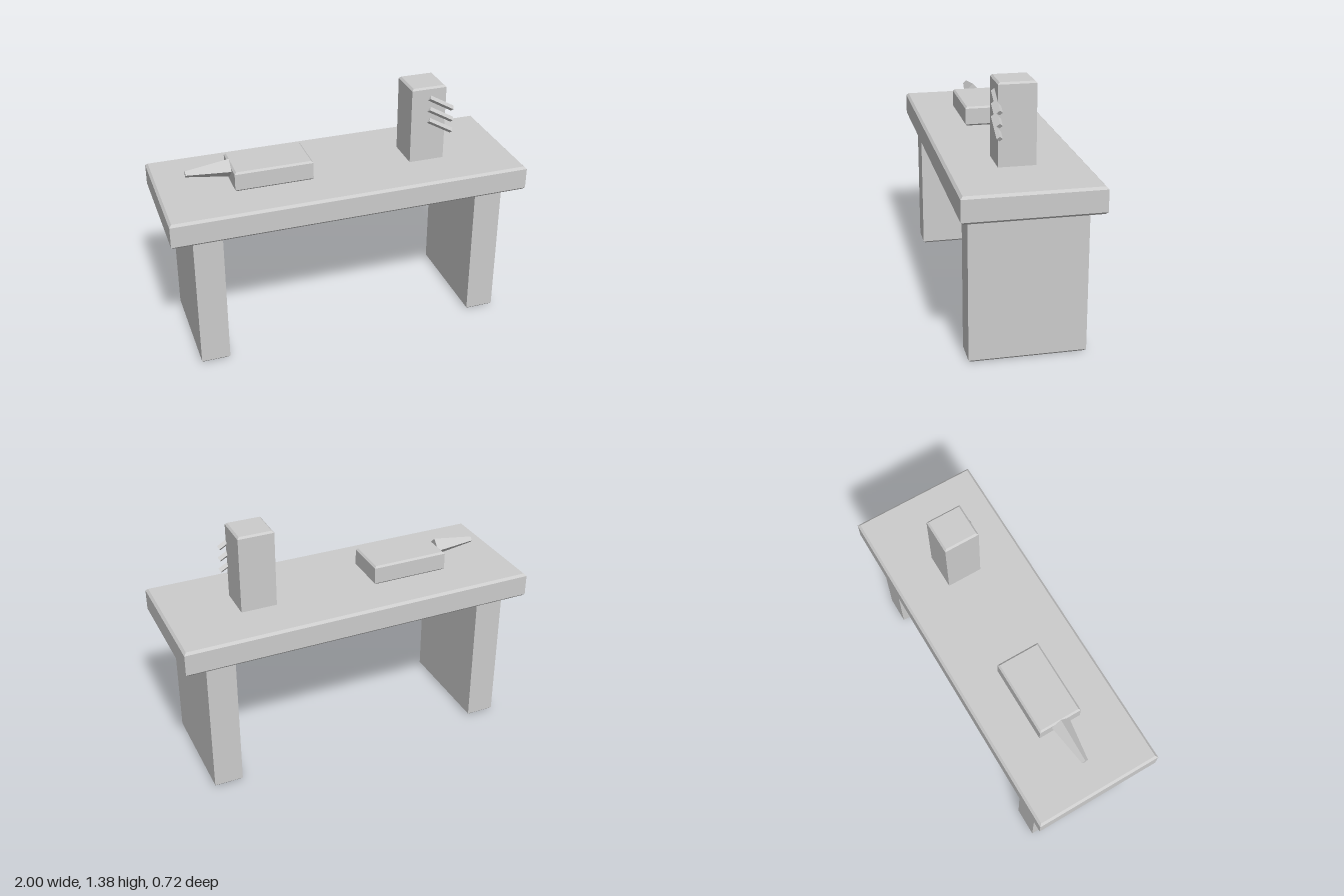
import * as THREE from 'three';

const material = new THREE.MeshStandardMaterial({ color: 0xcccccc, flatShading: true });

function addMesh(group, name, geometry) {
  const mesh = new THREE.Mesh(geometry, material);
  mesh.name = name;
  group.add(mesh);
  return mesh;
}

// Block with sharp upright edges and chamfered top and bottom rims
function slab(width, height, depth, bevel) {
  const w = width / 2 - bevel, d = depth / 2 - bevel;
  const shape = new THREE.Shape([
    new THREE.Vector2(-w, -d), new THREE.Vector2(w, -d),
    new THREE.Vector2(w, d), new THREE.Vector2(-w, d),
  ]);
  const geometry = new THREE.ExtrudeGeometry(shape, {
    depth: height - 2 * bevel, bevelEnabled: true,
    bevelSize: bevel, bevelThickness: bevel, bevelSegments: 1,
  });
  geometry.translate(0, 0, bevel);
  return geometry.rotateX(-Math.PI / 2); // base rests on y = 0
}

export function createModel() {
  const group = new THREE.Group();

  // Bench: top and two panel legs
  addMesh(group, 'benchTop', slab(2, 0.142, 0.724, 0.013)).position.y = 0.795;
  for (const side of [-1, 1]) {
    const leg = addMesh(group, side > 0 ? 'leftLeg' : 'rightLeg', slab(0.16, 0.82, 0.617, 0.012));
    leg.position.x = side * 0.8;
  }

  // Anvil: low block with a tapered four-sided horn
  const anvil = new THREE.Group();
  anvil.name = 'anvil';
  addMesh(anvil, 'anvilBlock', slab(0.435, 0.112, 0.25, 0.01)).position.set(-0.3825, 0.937, 0);
  const horn = addMesh(anvil, 'anvilHorn', new THREE.CylinderGeometry(0.018, 0.053, 0.24, 4));
  horn.rotation.z = Math.PI / 2;
  horn.position.set(-0.72, 1.022, 0);
  group.add(anvil);

  // Post with three slanted pegs on its front
  const rack = new THREE.Group();
  rack.name = 'rack';
  addMesh(rack, 'post', slab(0.2, 0.455, 0.2, 0.01)).position.set(0.505, 0.92, 0);
  for (let i = 0; i < 3; i++) {
    const peg = addMesh(rack, 'peg', new THREE.CylinderGeometry(0.016, 0.016, 0.161, 4));
    peg.rotation.z = Math.PI / 3;
    peg.position.set(0.577, 1.273 - i * 0.067, 0.1);
  }
  group.add(rack);

  return group;
}
